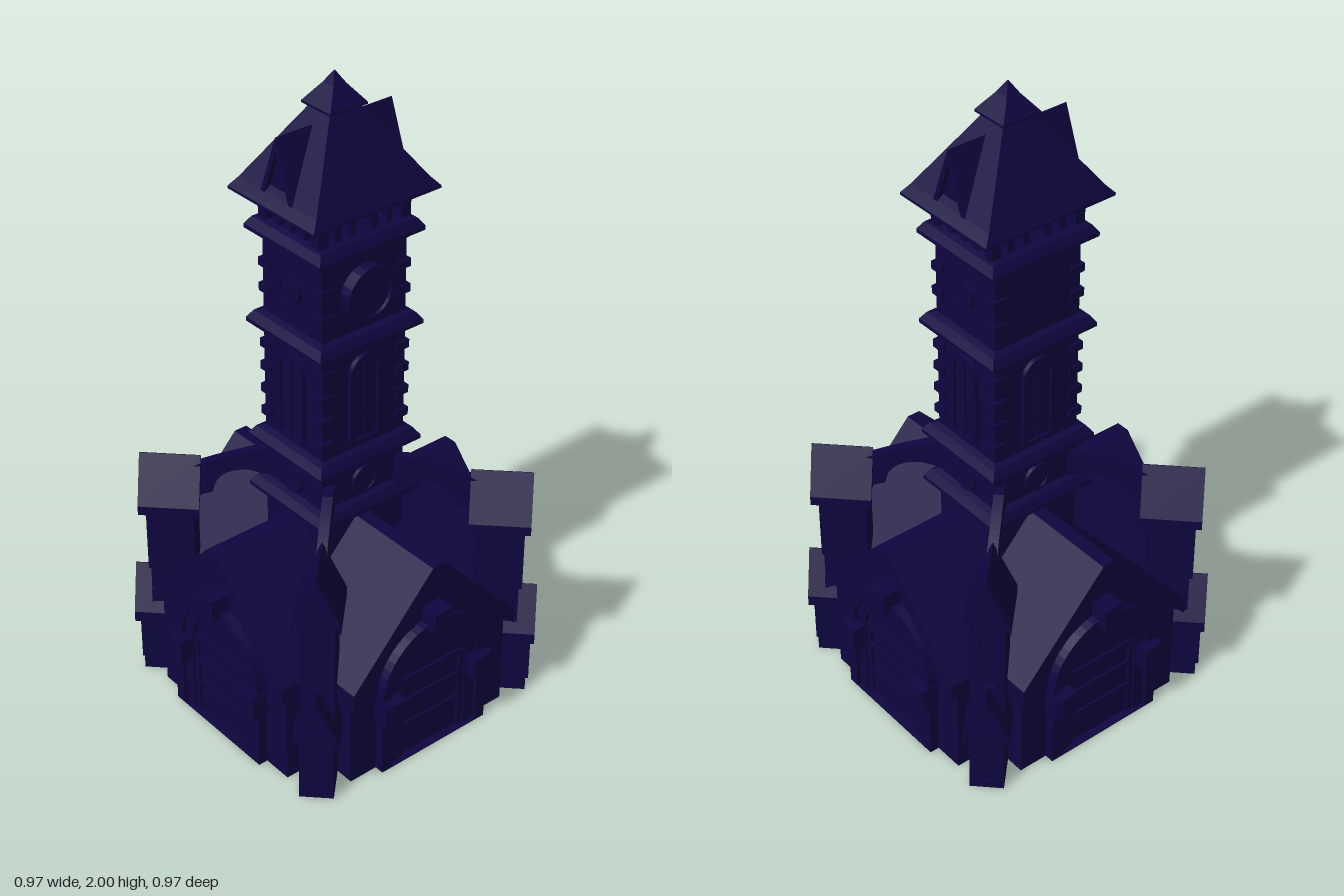
import * as THREE from 'three';

const mat = new THREE.MeshStandardMaterial({ color: 0x0f0540, flatShading: true, side: THREE.DoubleSide });

function add(parent, name, geo, x = 0, y = 0, z = 0) {
  const m = new THREE.Mesh(geo, mat);
  m.name = name;
  m.position.set(x, y, z);
  parent.add(m);
  return m;
}
const box = (parent, name, w, h, d, x, y, z) => add(parent, name, new THREE.BoxGeometry(w, h, d), x, y, z);

// Extrude a shape along z between z0 and z1
function slab(parent, name, shape, z0, z1) {
  const geo = new THREE.ExtrudeGeometry(shape, { depth: z1 - z0, bevelEnabled: false, curveSegments: 12 });
  return add(parent, name, geo, 0, 0, z0);
}
const poly = (pts) => new THREE.Shape(pts.map((p) => new THREE.Vector2(...p)));
// House-shaped section
const gable = (w, y0, eave, top) => poly([[-w, y0], [w, y0], [w, eave], [0, top], [-w, eave]]);
// Roof section: two slopes of thickness t, flat ridge of half width r
const chevron = (w, eave, top, t, r = 0.001) =>
  poly([[-w, eave], [-w, eave - t], [0, top - t], [w, eave - t], [w, eave], [r, top], [-r, top]]);

// Round-headed opening outline
function archOn(p, w, y0, spring) {
  p.moveTo(-w, y0);
  p.lineTo(w, y0);
  p.lineTo(w, spring);
  p.absarc(0, spring, w, 0, Math.PI, false);
  p.lineTo(-w, y0);
  return p;
}
const arch = (w, y0, spring) => archOn(new THREE.Shape(), w, y0, spring);
function archFrame(w, wi, y0, spring) {
  const s = arch(w, y0, spring);
  s.holes.push(archOn(new THREE.Path(), wi, y0 + 0.004, spring));
  return s;
}

// Loft of rectangles, each ring is [halfX, halfZ, y]
function loft(parent, name, rings) {
  const pos = [], idx = [];
  for (const [a, c, y] of rings) pos.push(-a, y, c, a, y, c, a, y, -c, -a, y, -c);
  for (let i = 0; i < rings.length - 1; i++) {
    for (let k = 0; k < 4; k++) {
      const a = i * 4 + k, b = i * 4 + (k + 1) % 4;
      idx.push(a, b, b + 4, a, b + 4, a + 4);
    }
  }
  const t = (rings.length - 1) * 4;
  idx.push(0, 2, 1, 0, 3, 2, t, t + 1, t + 2, t, t + 2, t + 3);
  const geo = new THREE.BufferGeometry();
  geo.setAttribute('position', new THREE.Float32BufferAttribute(pos, 3));
  geo.setIndex(idx);
  const flat = geo.toNonIndexed();
  flat.computeVertexNormals();
  return add(parent, name, flat);
}

function turned(parent, name, angle) {
  const g = new THREE.Group();
  g.name = name;
  g.rotation.y = angle;
  parent.add(g);
  return g;
}

// Disc with a raised rim, facing +z
function roundel(parent, name, r, y, z, depth) {
  const disc = add(parent, name, new THREE.CylinderGeometry(r * 0.78, r * 0.78, depth * 0.7, 24), 0, y, z + depth * 0.35);
  disc.rotation.x = Math.PI / 2;
  const ring = new THREE.Shape().absarc(0, y, r, 0, Math.PI * 2, false);
  ring.holes.push(new THREE.Path().absarc(0, y, r * 0.78, 0, Math.PI * 2, true));
  slab(parent, name + 'Rim', ring, z, z + depth);
}

// One gabled arm of the hollow hall with its doorway
function hallArm(parent, angle) {
  const g = turned(parent, 'hallArm', angle);
  slab(g, 'gableWall', gable(0.295, 0, 0.33, 0.625), 0.41, 0.425);
  const roof = slab(g, 'gableRoof', chevron(0.31, 0.345, 0.655, 0.05, 0.022), 0, 0.455);
  // Mitre the inner end so that the four roofs meet in valleys
  const p = roof.geometry.attributes.position;
  for (let i = 0; i < p.count; i++) if (p.getZ(i) < 0.001) p.setZ(i, Math.abs(p.getX(i)));
  roof.geometry.computeVertexNormals();
  slab(g, 'archOuter', archFrame(0.2, 0.165, 0, 0.26), 0.42, 0.455);
  slab(g, 'archInner', archFrame(0.165, 0.128, 0, 0.26), 0.42, 0.443);
  slab(g, 'door', arch(0.128, 0, 0.26), 0.42, 0.43);
  for (const y of [0.11, 0.2, 0.28]) box(g, 'doorRail', 0.23, 0.018, 0.012, 0, y, 0.433);
  for (const x of [-0.115, 0.115]) box(g, 'doorStile', 0.018, 0.28, 0.012, x, 0.14, 0.433);
  box(g, 'keystone', 0.066, 0.07, 0.062, 0, 0.475, 0.453);
  for (const s of [-1, 1]) {
    box(g, 'sideWall', 0.012, 0.33, 0.135, s * 0.289, 0.165, 0.3575);
    // Imposts with one chamfered outer corner
    const plan = poly([[s * 0.132, 0.42], [s * 0.205, 0.42], [s * 0.205, 0.475], [s * 0.185, 0.484], [s * 0.132, 0.484]]);
    const impost = slab(g, 'impost', plan, 0, 0.075);
    impost.rotation.x = Math.PI / 2;
    impost.position.set(0, 0.26, 0);
  }
}

// Corner pier on a diagonal, with its flying arch to the tower
function cornerPier(parent, angle) {
  const g = turned(parent, 'cornerPier', angle);
  slab(g, 'pierShaft', gable(0.05, 0, 0.64, 0.735), 0.415, 0.55);
  slab(g, 'pierCap', chevron(0.069, 0.62, 0.767, 0.03), 0.395, 0.577);
  slab(g, 'pierCapCore', gable(0.06, 0.6, 0.62, 0.75), 0.405, 0.565);
  slab(g, 'upperNiche', archFrame(0.035, 0.022, 0.37, 0.6), 0.545, 0.56);
  slab(g, 'lowerPier', gable(0.05, 0, 0.25, 0.35), 0.48, 0.585);
  slab(g, 'lowerGable', chevron(0.066, 0.225, 0.365, 0.035), 0.48, 0.605);
  slab(g, 'lowerNiche', archFrame(0.034, 0.02, 0.03, 0.21), 0.58, 0.594);
  const s = new THREE.Shape();
  s.moveTo(0.17, 0.805);
  s.lineTo(0.23, 0.805);
  s.quadraticCurveTo(0.33, 0.775, 0.42, 0.735);
  s.lineTo(0.42, 0.63);
  s.lineTo(0.36, 0.65);
  s.quadraticCurveTo(0.35, 0.735, 0.25, 0.735);
  s.lineTo(0.17, 0.715);
  // the section is drawn as (radius, height), so turn x towards +z
  const f = slab(g, 'flyingArch', s, 0, 0.03);
  f.rotation.y = -Math.PI / 2;
  f.position.set(0.015, 0, 0);
}

function tower(parent) {
  const g = turned(parent, 'tower', 0);
  g.position.set(0.003, 0, -0.007);
  const X = 0.15, Z = 0.128;
  box(g, 'towerShaft', X * 2, 1.08, Z * 2, 0, 1.02, 0);
  // Stepped mouldings around the shaft
  for (const y of [0.69, 0.86, 1.245, 1.54]) {
    loft(g, 'cornice', [[X, Z, y - 0.035], [X + 0.018, Z + 0.018, y - 0.02], [X + 0.036, Z + 0.036, y - 0.008],
      [X + 0.036, Z + 0.036, y + 0.004], [X + 0.02, Z + 0.02, y + 0.028], [X, Z, y + 0.034]]);
  }
  // Corner stones
  for (const sx of [-1, 1]) for (const sz of [-1, 1]) {
    for (const y of [0.945, 1.02, 1.095, 1.17, 1.35, 1.43]) {
      box(g, 'cornerStone', 0.045, 0.026, 0.045, sx * (X - 0.0135), y, sz * (Z - 0.0135));
    }
  }
  for (let k = 0; k < 4; k++) {
    const side = turned(g, 'towerFace', k * Math.PI / 2);
    const d = k % 2 ? X : Z;
    roundel(side, 'rosette', 0.045, 0.775, d, 0.012);
    slab(side, 'windowFrame', archFrame(0.058, 0.042, 0.92, 1.14), d, d + 0.014);
    slab(side, 'windowPane', arch(0.042, 0.92, 1.14), d - 0.002, d + 0.004);
    box(side, 'mullion', 0.009, 0.25, 0.008, 0, 1.05, d + 0.006);
    if (k % 2) roundel(side, 'smallRoundel', 0.045, 1.4, d, 0.014);
  }
  // Clock on the front only
  roundel(g, 'clock', 0.086, 1.395, Z, 0.037);
  box(g, 'hourHand', 0.035, 0.007, 0.006, 0.015, 1.395, Z + 0.028);
  box(g, 'minuteHand', 0.007, 0.055, 0.006, 0, 1.42, Z + 0.028);

  // Open belfry
  for (const sx of [-1, 1]) for (const sz of [-1, 1]) box(g, 'cornerPost', 0.032, 0.11, 0.032, sx * 0.145, 1.61, sz * 0.115);
  for (const s of [-1, 1]) {
    for (const x of [-0.09, -0.038, 0.038, 0.09]) box(g, 'belfryPost', 0.02, 0.11, 0.02, x, 1.61, s * 0.115);
    for (const z of [-0.055, 0, 0.055]) box(g, 'belfryPost', 0.02, 0.11, 0.02, s * 0.145, 1.61, z);
  }

  // Spire with flared eave and cap
  loft(g, 'spire', [[0.17, 0.14, 1.65], [0.222, 0.183, 1.655], [0.222, 0.183, 1.663], [0.198, 0.165, 1.69], [0.042, 0.036, 1.915]]);
  loft(g, 'spireCap', [[0.045, 0.045, 1.9], [0.064, 0.06, 1.905], [0.064, 0.06, 1.912], [0.022, 0.022, 1.965], [0.001, 0.001, 2]]);
  for (const s of [-1, 1]) {
    const dormer = turned(g, 'dormer', s * Math.PI / 2);
    slab(dormer, 'dormerBody', poly([[-0.056, 1.675], [0.056, 1.675], [0, 1.85]]), 0.03, 0.185);
    slab(dormer, 'dormerRoof', chevron(0.066, 1.69, 1.866, 0.042), 0.03, 0.2);
  }
}

export function createModel() {
  const root = new THREE.Group();
  root.name = 'clockTowerChapel';
  for (let k = 0; k < 4; k++) {
    hallArm(root, k * Math.PI / 2);
    cornerPier(root, Math.PI / 4 + k * Math.PI / 2);
  }
  tower(root);
  return root;
}
